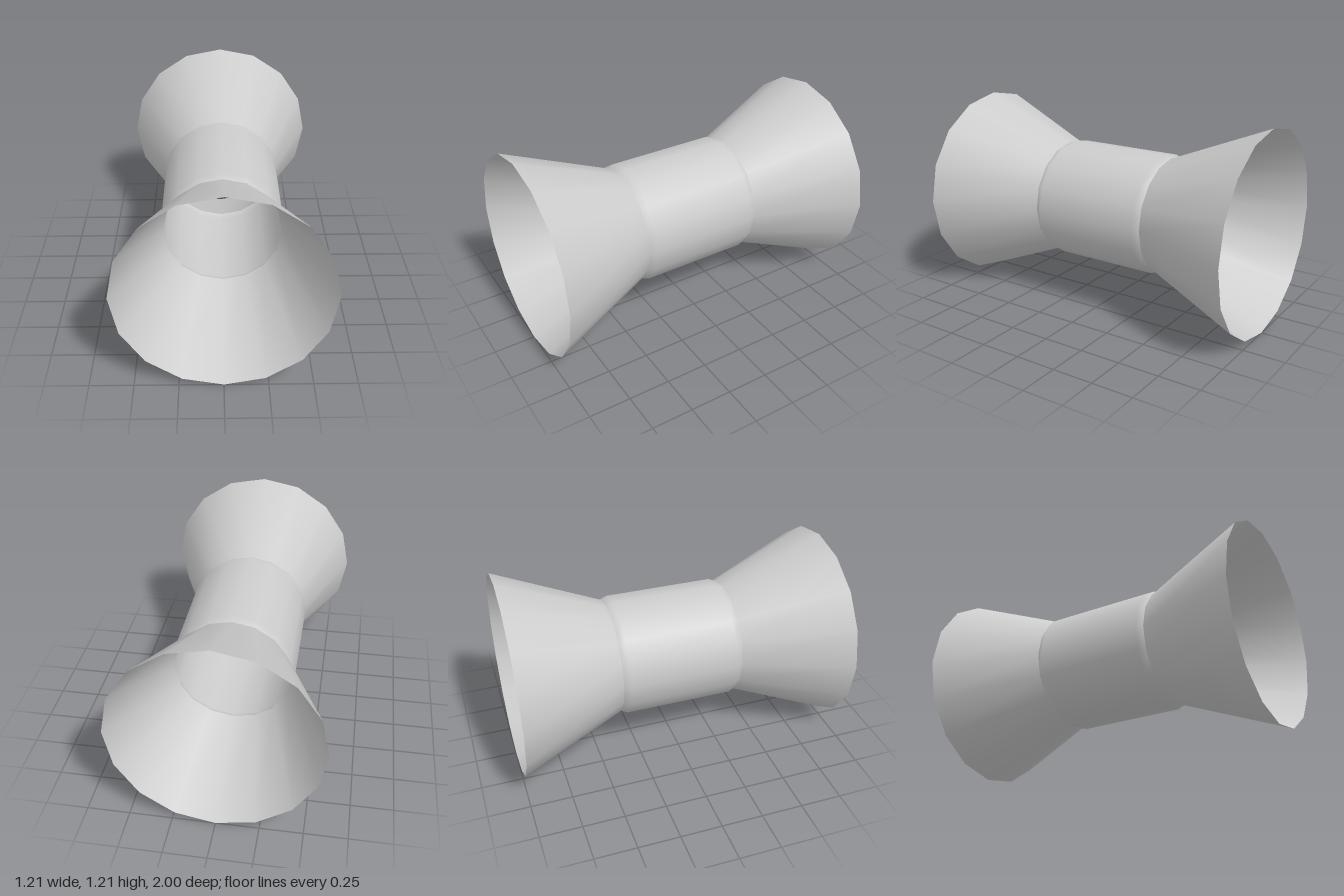
import * as THREE from 'three';

const SIDES = 16;
const CENTER_Y = 0.61;

export function createModel() {
  const model = new THREE.Group();
  model.name = 'doubleFlaredTube';
  const grey = new THREE.MeshStandardMaterial({ color: 0xcccccc, side: THREE.DoubleSide });
  grey.name = 'light grey';

  // Open shell turned around the z axis from [radius, z] pairs, back to front
  const shell = (name, profile) => {
    const points = profile.map(([r, z]) => new THREE.Vector2(r, z));
    const geometry = new THREE.LatheGeometry(points, SIDES).rotateX(Math.PI / 2);
    const mesh = new THREE.Mesh(geometry, grey);
    mesh.name = name;
    mesh.position.y = CENTER_Y;
    model.add(mesh);
  };

  // Flared funnels, open at both ends
  shell('frontFunnel', [[0.348, 0.37], [0.607, 1]]);
  shell('backFunnel', [[0.607, -1], [0.348, -0.37]]);

  // Middle sleeve with bevelled ends
  shell('middleSleeve', [[0.348, -0.37], [0.366, -0.33], [0.366, 0.33], [0.348, 0.37]]);

  return model;
}
